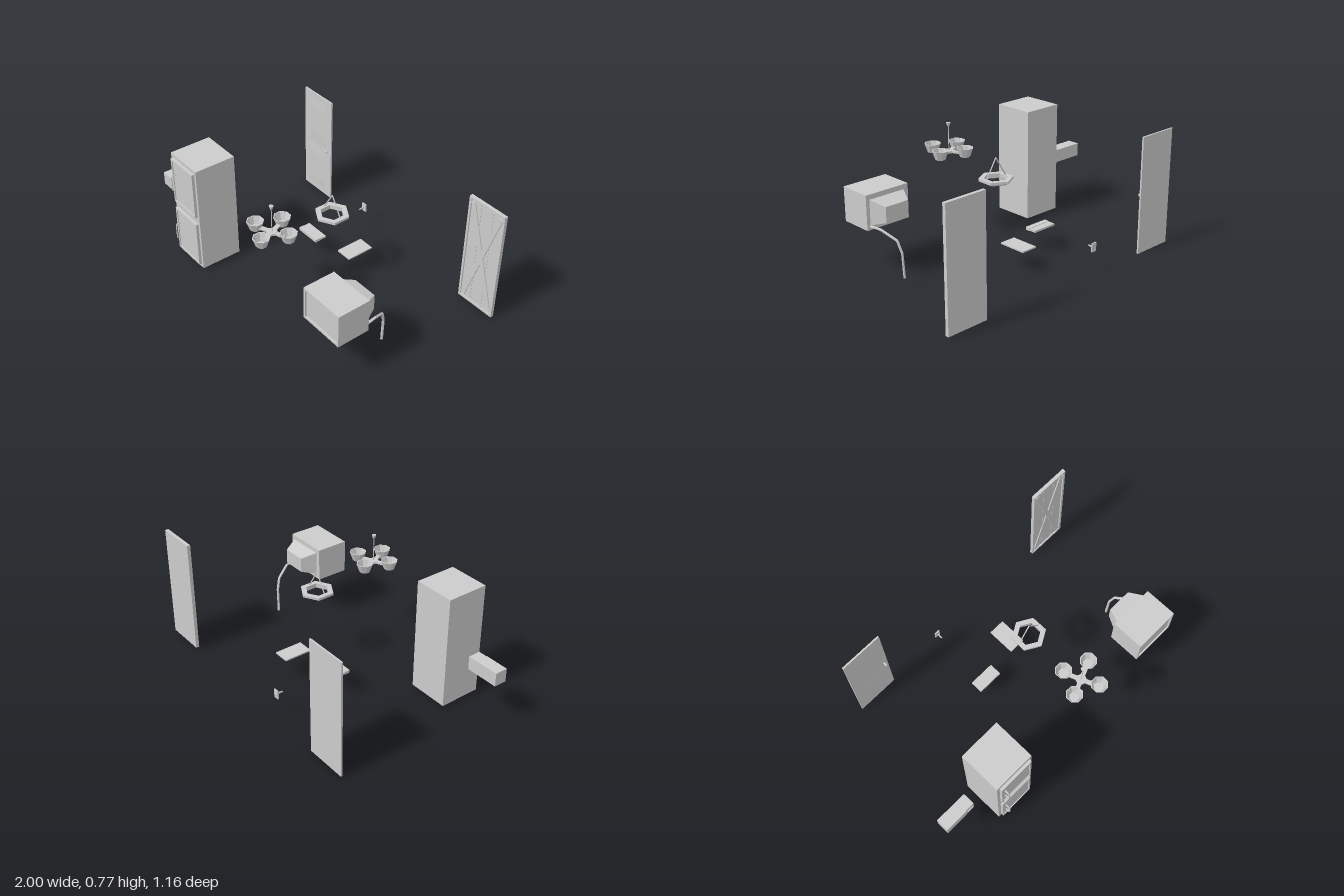
import * as THREE from 'three';

const mat = new THREE.MeshStandardMaterial({ color: 0xcccccc, flatShading: true, side: THREE.DoubleSide });

function add(parent, name, geo, x = 0, y = 0, z = 0) {
  const m = new THREE.Mesh(geo, mat);
  m.name = name;
  m.position.set(x, y, z);
  parent.add(m);
  return m;
}

function group(parent, name, x = 0, y = 0, z = 0) {
  const g = new THREE.Group();
  g.name = name;
  g.position.set(x, y, z);
  parent.add(g);
  return g;
}

// Box given by its limits on each axis
function box(parent, name, x0, x1, y0, y1, z0, z1) {
  return add(parent, name, new THREE.BoxGeometry(x1 - x0, y1 - y0, z1 - z0),
    (x0 + x1) / 2, (y0 + y1) / 2, (z0 + z1) / 2);
}

// Rectangular frame in the xy plane, extruded towards +z
function frame(w, h, border, depth) {
  const rect = (T, a, b) => new T([[-a, -b], [a, -b], [a, b], [-a, b]].map(p => new THREE.Vector2(...p)));
  const s = rect(THREE.Shape, w / 2, h / 2);
  s.holes.push(rect(THREE.Path, w / 2 - border, h / 2 - border));
  return new THREE.ExtrudeGeometry(s, { depth, bevelEnabled: false });
}

// Box whose face on the given z side is scaled
function taperedBox(w, h, d, sx, sy, side) {
  const g = new THREE.BoxGeometry(w, h, d), p = g.attributes.position;
  for (let i = 0; i < p.count; i++)
    if (p.getZ(i) * side > 0) p.setXY(i, p.getX(i) * sx, p.getY(i) * sy);
  g.computeVertexNormals();
  return g;
}

function rod(points, r, sides = 6) {
  const path = new THREE.CurvePath();
  const v = points.map(p => new THREE.Vector3(...p));
  for (let i = 1; i < v.length; i++) path.add(new THREE.LineCurve3(v[i - 1], v[i]));
  return new THREE.TubeGeometry(path, 36, r, sides);
}

function makeFridge(root) {
  const g = group(root, 'fridge');
  box(g, 'fridgeBody', -0.69, -0.42, 0.022, 0.752, 0.264, 0.535);
  for (const [y0, y1, h0, h1] of [[0.412, 0.727, 0.508, 0.627], [0.048, 0.36, 0.14, 0.26]]) {
    box(g, 'fridgeDoor', -0.67, -0.438, y0, y1, 0.535, 0.547);
    add(g, 'fridgeDoorRim', frame(0.232, y1 - y0, 0.012, 0.006), -0.554, (y0 + y1) / 2, 0.547);
    add(g, 'fridgeHandle', rod([[0, h0 + 0.004, 0.545], [0, h0 + 0.004, 0.568], [0, h0 + 0.012, 0.577],
      [0, h1 - 0.012, 0.577], [0, h1 - 0.004, 0.568], [0, h1 - 0.004, 0.545]], 0.0045), -0.64);
  }
}

function makeChandelier(root) {
  const g = group(root, 'chandelier', 0.138, 0, 0.396);
  add(g, 'ceilingCap', new THREE.CylinderGeometry(0.014, 0.008, 0.02, 8), 0, 0.765, 0);
  add(g, 'chandelierRod', new THREE.CylinderGeometry(0.003, 0.003, 0.17, 6), 0, 0.675, 0);
  add(g, 'chandelierHub', new THREE.CylinderGeometry(0.032, 0.032, 0.014, 8), 0, 0.592, 0);
  const cup = new THREE.LatheGeometry([[0, 0], [0.033, 0], [0.053, 0.056], [0.047, 0.056], [0.03, 0.008], [0, 0.008]]
    .map(p => new THREE.Vector2(...p)), 8);
  for (let i = 0; i < 4; i++) {
    const arm = group(g, 'chandelierArm');
    arm.rotation.y = 0.385 + i * Math.PI / 2;
    box(arm, 'armBar', 0.015, 0.085, 0.586, 0.598, -0.013, 0.013);
    add(arm, 'lampShade', cup, 0.111, 0.573, 0);
  }
}

function makeHexLamp(root) {
  const g = group(root, 'hexLamp', 0.147, 0, -0.034);
  add(g, 'hexRing', new THREE.LatheGeometry([[0.073, 0.535], [0.073, 0.508], [0.077, 0.504], [0.106, 0.519],
    [0.106, 0.535], [0.073, 0.535]].map(p => new THREE.Vector2(...p)), 6));
  add(g, 'hexHanger', rod([[-0.082, 0.53, 0], [-0.066, 0.55, 0], [0, 0.657, 0], [0.066, 0.55, 0], [0.082, 0.53, 0]], 0.004));
}

function makeMonitor(root) {
  const g = group(root, 'boxMonitor', 0.706, 0.413, 0);
  box(g, 'monitorBody', -0.15, 0.15, -0.108, 0.108, 0.283, 0.485);
  add(g, 'screenFrame', frame(0.3, 0.216, 0.014, 0.01), 0, 0, 0.485);
  add(g, 'monitorBack', taperedBox(0.246, 0.157, 0.095, 0.65, 0.62, -1), 0.004, -0.001, 0.2365);
  add(root, 'powerCord', rod([[0.83, 0.325, 0.285], [0.82, 0.327, 0.205], [0.778, 0.275, 0.112],
    [0.764, 0.2, 0.089], [0.756, 0.045, 0.086]], 0.008));
}

function makePanelDoor(root) {
  const g = group(root, 'panelDoor', -0.667, 0.38, 0);
  box(g, 'doorSlab', -0.137, 0.137, -0.375, 0.375, -0.583, -0.572);
  // Two bevelled fields
  for (const [y, h] of [[0.17, 0.33], [-0.18, 0.31]]) {
    add(g, 'doorPanel', taperedBox(0.2, h, 0.003, 0.6, 0.6, 1), 0, y, -0.5705);
  }
  const stem = add(g, 'knobStem', new THREE.CylinderGeometry(0.005, 0.005, 0.02, 8), 0.11, -0.003, -0.562);
  stem.rotation.x = Math.PI / 2;
  add(g, 'doorKnob', new THREE.SphereGeometry(0.01, 8, 6), 0.11, -0.003, -0.553);
}

function makeBarnDoor(root) {
  const g = group(root, 'barnDoor', 0.865, 0.39, 0);
  box(g, 'barnDoorBoards', -0.135, 0.135, -0.37, 0.37, -0.578, -0.564);
  add(g, 'barnDoorFrame', frame(0.27, 0.74, 0.015, 0.008), 0, 0, -0.564);
  // Crossed braces
  for (const s of [-1, 1]) {
    const brace = add(g, 'barnDoorBrace', new THREE.BoxGeometry(0.03, 0.715, 0.007), 0, 0, -0.5605);
    brace.rotation.z = s * 0.3;
  }
  for (const x of [-0.045, 0.045]) box(g, 'boardSeam', x - 0.002, x + 0.002, -0.355, 0.355, -0.564, -0.562);
}

function makeSmallItems(root) {
  // Wall unit with front cover and small vent
  const unit = group(root, 'wallUnit');
  box(unit, 'unitBody', -1, -0.785, 0.306, 0.393, 0.352, 0.431);
  box(unit, 'unitCover', -1, -0.845, 0.306, 0.393, 0.431, 0.435);
  for (const y of [0.325, 0.34, 0.355]) box(unit, 'unitVent', -0.835, -0.795, y, y + 0.006, 0.431, 0.434);

  // Flat slabs
  const shelf = group(root, 'thickSlab');
  box(shelf, 'slabFront', -0.23, -0.062, 0.151, 0.17, -0.11, -0.076);
  box(shelf, 'slabRear', -0.23, -0.062, 0.154, 0.167, -0.157, -0.11);
  box(root, 'thinSlab', 0.092, 0.2, 0.154, 0.163, -0.314, -0.13);

  // Wall switch
  const sw = group(root, 'wallSwitch', -0.15, 0.159, 0);
  box(sw, 'switchPlate', -0.018, 0.018, -0.028, 0.028, -0.554, -0.546);
  add(sw, 'switchLever', taperedBox(0.008, 0.012, 0.038, 0.7, 0.5, 1), 0, 0, -0.527);
}

export function createModel() {
  const root = new THREE.Group();
  root.name = 'homeFurnishings';
  makeFridge(root);
  makeChandelier(root);
  makeHexLamp(root);
  makeMonitor(root);
  makePanelDoor(root);
  makeBarnDoor(root);
  makeSmallItems(root);
  root.position.y = -0.005;
  return root;
}
